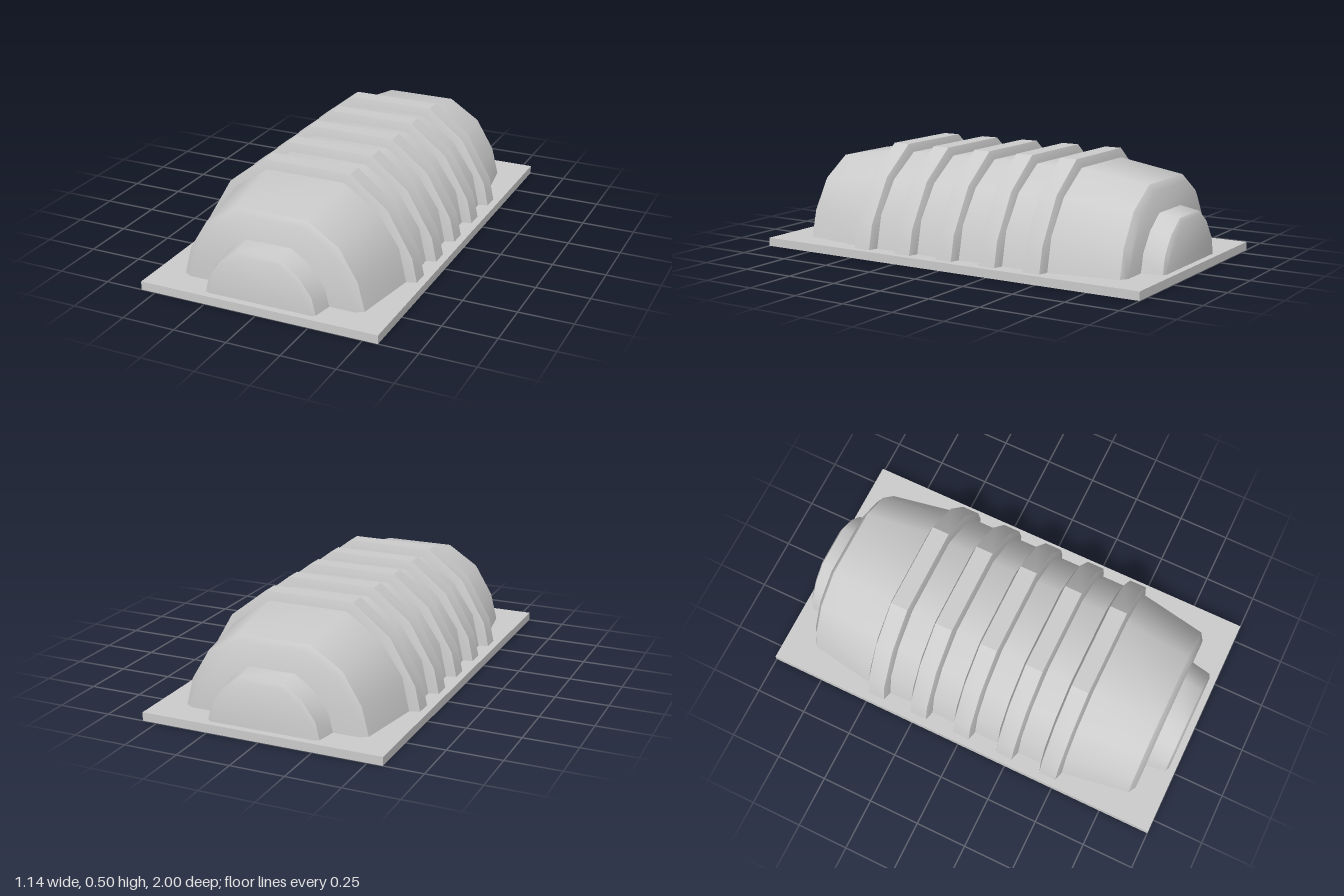
import * as THREE from 'three';
import { toCreasedNormals } from 'three/addons/utils/BufferGeometryUtils.js';

const material = new THREE.MeshStandardMaterial({ color: 0xcccccc });
const FLOOR = 0.04;

// Half outlines of the faceted arch, from the plate up to the flat crown
const RIB = [[0.535, 0.04], [0.51, 0.155], [0.39, 0.362], [0.213, 0.5]];
const BODY = [[0.49, 0.04], [0.455, 0.195], [0.35, 0.35], [0.19, 0.46]];
const SHOULDER = [[0.438, 0.04], [0.405, 0.17], [0.317, 0.315], [0.17, 0.41]];
const HUB = [[0.285, 0.04], [0.265, 0.125], [0.2, 0.215], [0.11, 0.28]];

// Scales an outline about the plate's centre line
const scaled = (outline, s) => outline.map(([x, y]) => [x * s, FLOOR + (y - FLOOR) * s]);

// Lofts mirrored arch sections [z, halfOutline] along z and caps both ends
function loft(name, sections) {
  const rings = sections.map(([z, half]) => [
    ...half.map(([x, y]) => [x, y, z]),
    ...[...half].reverse().map(([x, y]) => [-x, y, z]),
  ]);
  const n = rings[0].length, index = [];
  for (let i = 0; i < rings.length - 1; i++) {
    for (let j = 0; j < n; j++) {
      const k = (j + 1) % n, a = i * n, b = a + n;
      index.push(a + j, a + k, b + k, a + j, b + k, b + j);
    }
  }
  const last = (rings.length - 1) * n;
  for (let j = 1; j < n - 1; j++) {
    index.push(0, j + 1, j, last, last + j, last + j + 1);
  }
  const geometry = new THREE.BufferGeometry();
  geometry.setAttribute('position', new THREE.Float32BufferAttribute(rings.flat(2), 3));
  geometry.setIndex(index);
  const mesh = new THREE.Mesh(toCreasedNormals(geometry, 0.66), material);
  mesh.name = name;
  return mesh;
}

export function createModel() {
  const group = new THREE.Group();
  group.name = 'ribbedShelter';

  // Flat base plate
  const plate = new THREE.Mesh(new THREE.BoxGeometry(1.14, FLOOR, 2), material);
  plate.name = 'basePlate';
  plate.position.y = FLOOR / 2;
  group.add(plate);

  // Vaulted shell, tapering to bevelled ends
  const rim = scaled(SHOULDER, 0.92);
  group.add(loft('shell', [
    [-0.862, rim], [-0.84, SHOULDER], [-0.51, BODY],
    [0.51, BODY], [0.84, SHOULDER], [0.862, rim],
  ]));

  // Five raised ribs with sloping flanks
  for (let i = -2; i <= 2; i++) {
    const z = i * 0.23;
    group.add(loft('rib', [
      [z - 0.055, BODY], [z - 0.042, RIB], [z + 0.042, RIB], [z + 0.055, BODY],
    ]));
  }

  // Small stepped end at the front and back
  const hubEdge = scaled(HUB, 0.93), hubFace = scaled(HUB, 0.86);
  group.add(loft('frontEnd', [[0.85, HUB], [0.957, hubEdge], [0.967, hubFace]]));
  group.add(loft('backEnd', [[-0.967, hubFace], [-0.957, hubEdge], [-0.85, HUB]]));

  return group;
}
